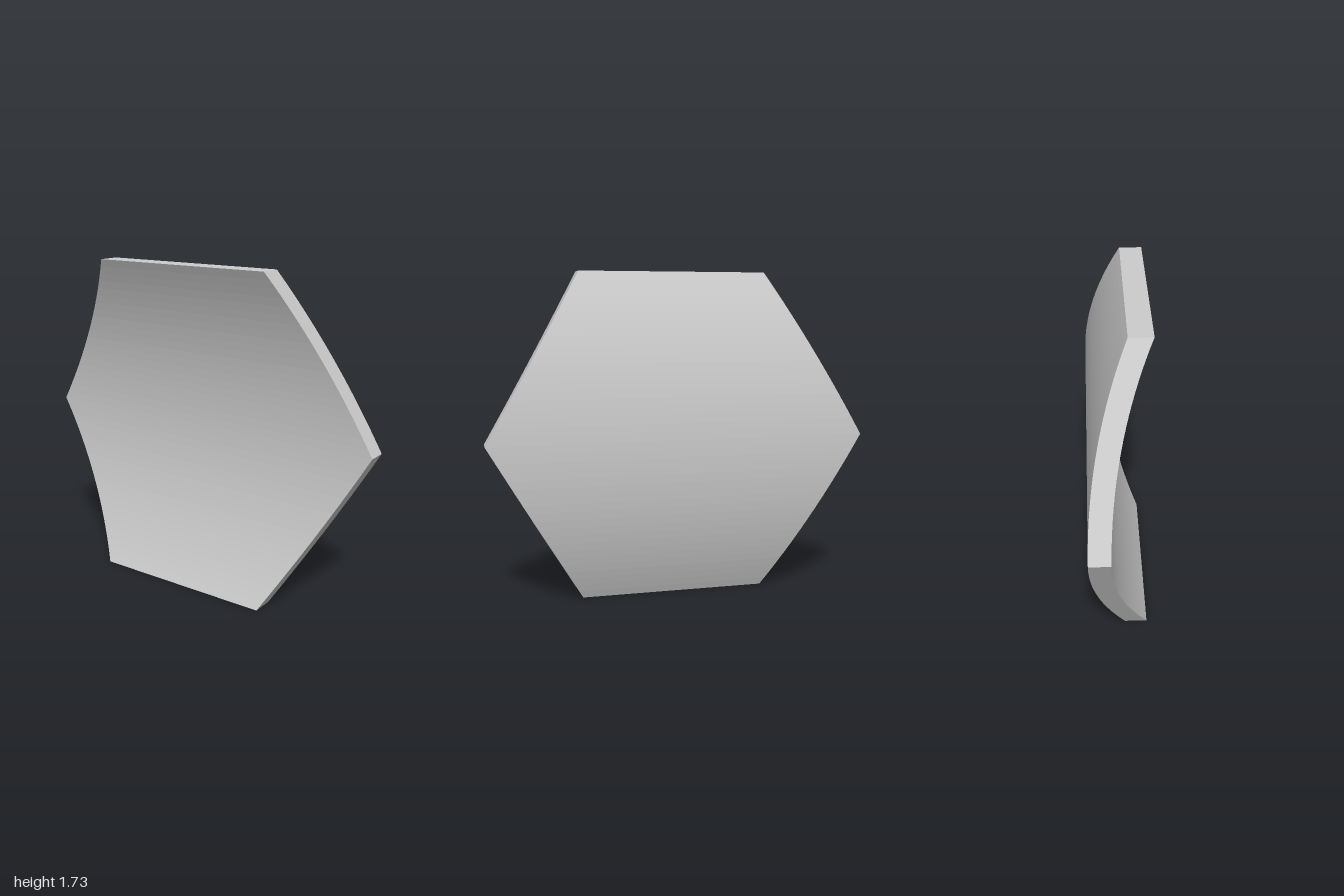
import * as THREE from 'three';

const HALF_HEIGHT = Math.sqrt(3) / 2; // hexagon with circumradius 1
const OUTER_R = 2.06, INNER_R = 1.955; // concentric shell radii
const AXIS_Z = 1.905; // shell axis runs along x, in front of the tile
const ROWS = 40; // even, so that one row falls on the side corners

// Hexagonal tile cut straight through a cylindrical shell
function curvedHexagon() {
  const positions = [], index = [];
  const maxAngle = Math.asin(HALF_HEIGHT / OUTER_R);

  // One four-cornered cross-section per height
  for (let i = 0; i <= ROWS; i++) {
    const y = OUTER_R * Math.sin(maxAngle * (2 * i / ROWS - 1));
    const w = 1 - Math.abs(y) / Math.sqrt(3);
    const front = AXIS_Z - Math.sqrt(INNER_R ** 2 - y * y);
    const back = AXIS_Z - Math.sqrt(OUTER_R ** 2 - y * y);
    for (const [x, z] of [[w, front], [w, back], [-w, back], [-w, front]]) {
      positions.push(x, y + HALF_HEIGHT, z);
    }
  }

  // Skin between neighbouring cross-sections
  for (let i = 0; i < ROWS; i++) {
    for (let k = 0; k < 4; k++) {
      const a = i * 4 + k, b = i * 4 + (k + 1) % 4;
      index.push(a, b, b + 4, a, b + 4, a + 4);
    }
  }

  // Bottom and top edges
  const t = ROWS * 4;
  index.push(0, 2, 1, 0, 3, 2, t, t + 1, t + 2, t, t + 2, t + 3);

  const indexed = new THREE.BufferGeometry();
  indexed.setAttribute('position', new THREE.Float32BufferAttribute(positions, 3));
  indexed.setIndex(index);
  const geometry = indexed.toNonIndexed();
  geometry.computeVertexNormals();
  return geometry;
}

export function createModel() {
  const group = new THREE.Group();
  group.name = 'curvedHexagonPanel';
  const material = new THREE.MeshStandardMaterial({ color: 0xcccccc, flatShading: true });
  const panel = new THREE.Mesh(curvedHexagon(), material);
  panel.name = 'panel';
  group.add(panel);
  return group;
}
